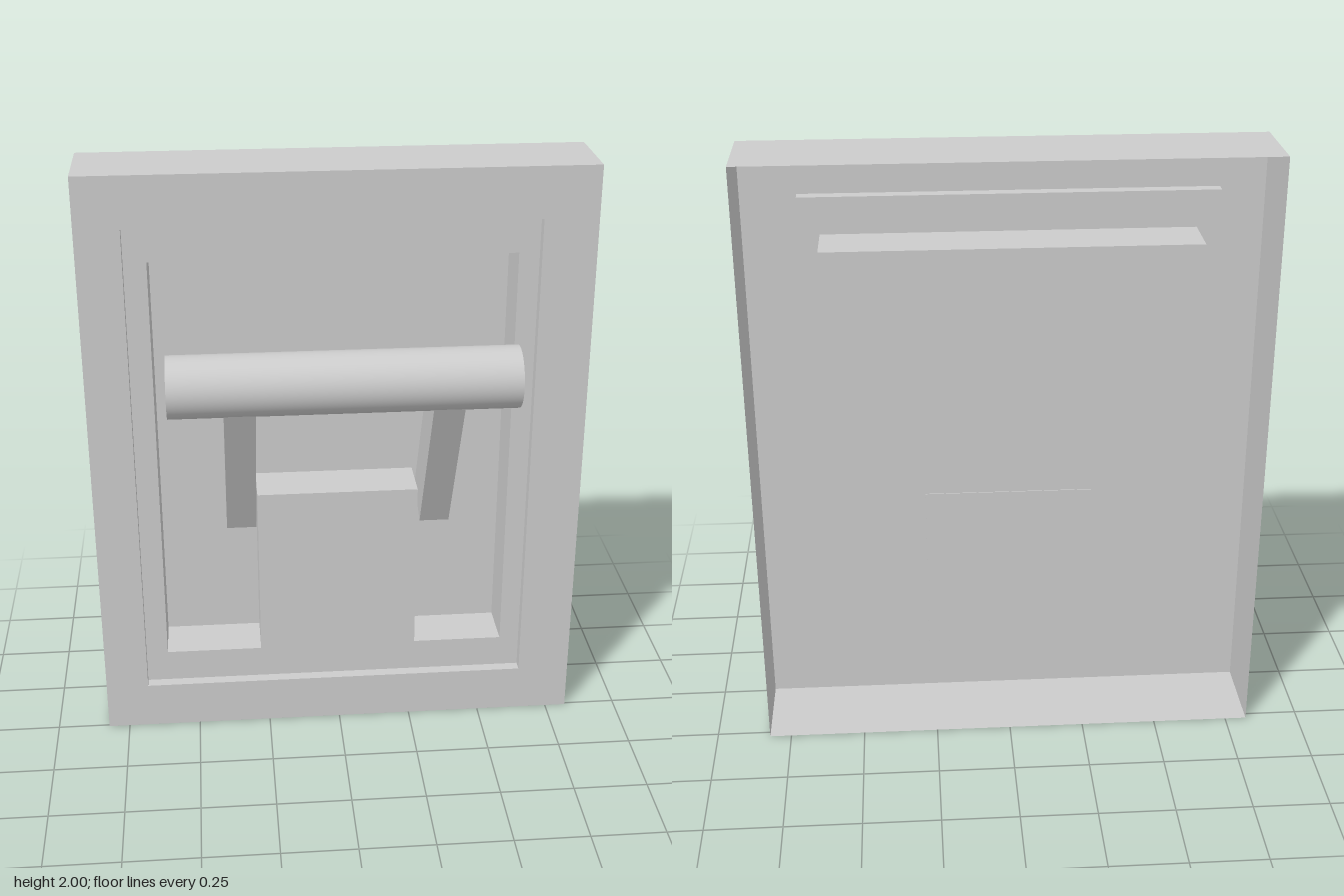
import * as THREE from 'three';

const material = new THREE.MeshStandardMaterial({ color: 0xcccccc });
const sheet = new THREE.MeshStandardMaterial({ color: 0xcccccc, side: THREE.DoubleSide });

// Rectangle in the xy plane at depth z, counter-clockwise from the front
const rect = (x0, x1, y0, y1, z) => [[x0, y0, z], [x1, y0, z], [x1, y1, z], [x0, y1, z]];

// Thin sheet-metal surface joining consecutive rectangles; optionally closed at the end
function shell(name, sections, closed = false) {
  const positions = [];
  const quad = (a, b, c, d) => positions.push(...a, ...b, ...c, ...a, ...c, ...d);
  for (let s = 0; s < sections.length - 1; s++) {
    const p = sections[s], q = sections[s + 1];
    for (let i = 0; i < 4; i++) {
      const j = (i + 1) % 4;
      quad(p[i], p[j], q[j], q[i]);
    }
  }
  if (closed) quad(...sections[sections.length - 1]);
  const geometry = new THREE.BufferGeometry();
  geometry.setAttribute('position', new THREE.Float32BufferAttribute(positions, 3));
  geometry.computeVertexNormals();
  const mesh = new THREE.Mesh(geometry, sheet);
  mesh.name = name;
  return mesh;
}

function solid(name, geometry, x, y, z) {
  const mesh = new THREE.Mesh(geometry, material);
  mesh.name = name;
  mesh.position.set(x, y, z);
  return mesh;
}

export function createModel() {
  const model = new THREE.Group();
  model.name = 'panelWithHandle';

  const front = 0.008, back = -0.273, plate = -0.03, floor = -0.2;
  const outer = z => rect(-0.822, 0.822, 0, 2, z);
  const opening = z => rect(-0.677, 0.645, 0.163, 1.83, z);
  const pan = z => rect(-0.603, 0.578, 0.275, 1.71, z);

  // Frame with an open back, a stepped lip and a deep pan behind it
  model.add(shell('frame', [outer(back), outer(front), opening(front), opening(plate)]));
  model.add(shell('recessedPlate', [opening(plate), pan(plate)]));
  model.add(shell('pan', [pan(plate), pan(floor)], true));

  // Raised block on the pan floor, a touch proud of the back
  const blockDepth = plate - floor + 0.003;
  model.add(solid('centreBlock', new THREE.BoxGeometry(0.545, 0.605, blockDepth),
    -0.002, 0.5775, plate - blockDepth / 2));

  // Round grip bar
  const grip = new THREE.CylinderGeometry(0.1, 0.1, 1.11, 64);
  grip.rotateZ(Math.PI / 2);
  model.add(solid('gripBar', grip, 0, 1.37, 0.173));

  // Two slanted arms from the pan to the grip bar
  for (const side of [-1, 1]) {
    const arm = solid(side > 0 ? 'leftArm' : 'rightArm',
      new THREE.BoxGeometry(0.1, 0.635, 0.165), side * 0.33, 1.077, 0.031);
    arm.rotation.x = Math.atan(0.5);
    model.add(arm);
  }

  return model;
}
